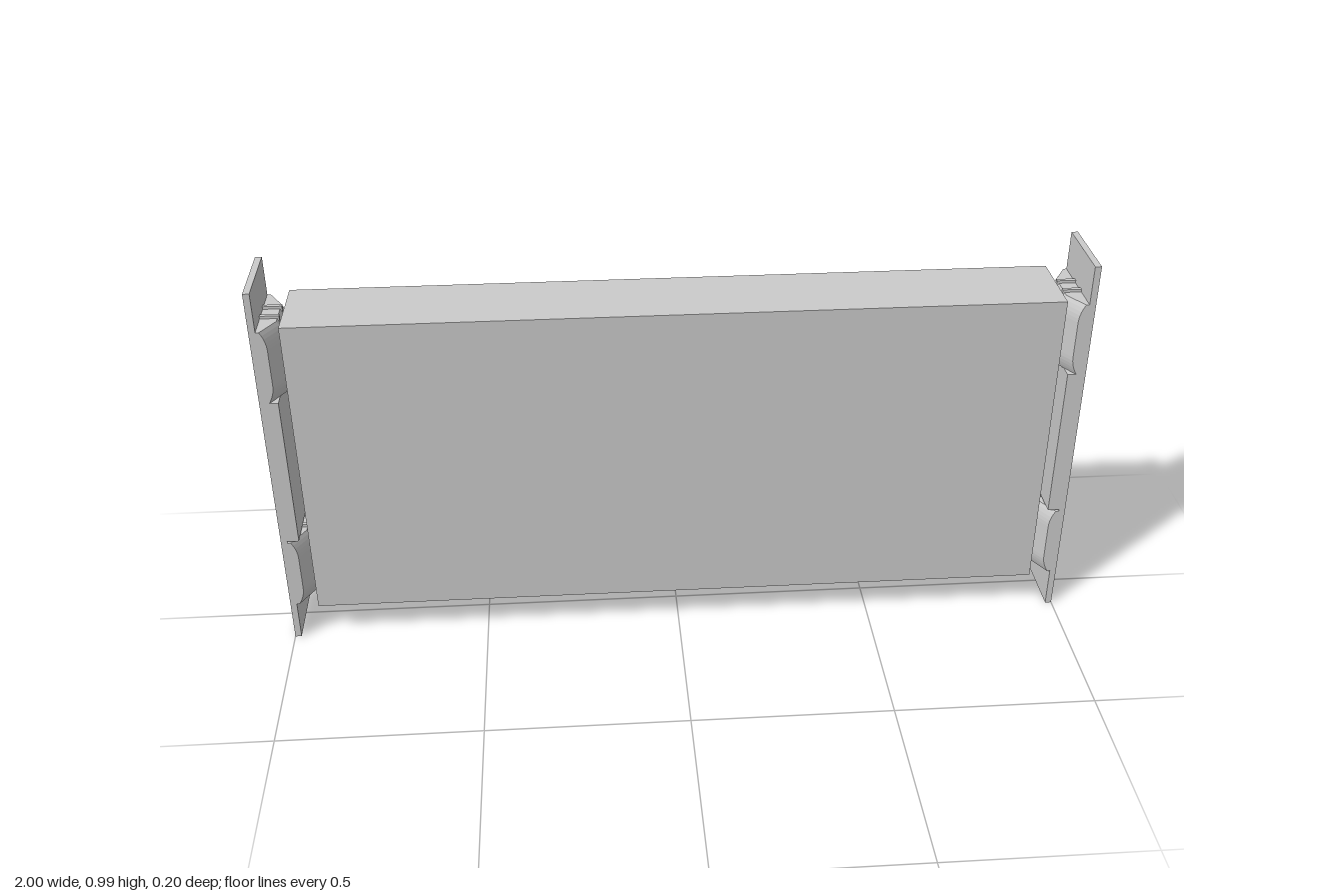
import * as THREE from 'three';

const grey = new THREE.MeshStandardMaterial({ color: 0xcccccc, flatShading: true });

function box(name, x0, x1, y0, y1, z0, z1) {
  const mesh = new THREE.Mesh(new THREE.BoxGeometry(x1 - x0, y1 - y0, z1 - z0), grey);
  mesh.position.set((x0 + x1) / 2, (y0 + y1) / 2, (z0 + z1) / 2);
  mesh.name = name;
  return mesh;
}

// Chamfered clamp block whose inner faces curve back towards both ends
function clampGeometry(height) {
  const shape = new THREE.Shape([
    [0.985, -0.1], [0.962, -0.1], [0.929, -0.045],
    [0.929, 0.045], [0.962, 0.1], [0.985, 0.1],
  ].map(([x, y]) => new THREE.Vector2(x, y)));
  const geometry = new THREE.ExtrudeGeometry(shape, { depth: height, steps: 20, bevelEnabled: false });
  geometry.rotateX(-Math.PI / 2);
  geometry.translate(0, -height / 2, 0);
  const p = geometry.attributes.position;
  for (let i = 0; i < p.count; i++) {
    if (p.getX(i) > 0.98) continue;
    const t = Math.abs(p.getY(i)) / (height / 2);
    p.setX(i, p.getX(i) + 0.014 * Math.max(0, (t - 0.5) / 0.5) ** 2);
  }
  geometry.computeVertexNormals();
  return geometry;
}

function createEnd(name) {
  const end = new THREE.Group();
  end.name = name;
  end.add(box('endPlate', 0.984, 1, 0, 0.99, -0.1, 0.1));
  end.add(box('middleSpacer', 0.955, 0.985, 0.3, 0.7, -0.1, 0.1));
  const geometry = clampGeometry(0.19);
  for (const y of [0.2, 0.795]) {
    const clamp = new THREE.Mesh(geometry, grey);
    clamp.name = 'clamp';
    clamp.position.y = y;
    end.add(clamp);
    // Thin ribs standing proud of the clamp's ends
    for (const z of [-0.025, 0.025]) {
      end.add(box('clampRib', 0.938, 0.985, y - 0.102, y + 0.102, z - 0.005, z + 0.005));
    }
  }
  return end;
}

export function createModel() {
  const model = new THREE.Group();
  model.name = 'panelWithEndPlates';
  model.add(box('panel', -0.93, 0.93, 0.095, 0.9, -0.1, 0.1));
  const left = createEnd('leftEnd');
  const right = createEnd('rightEnd');
  right.rotation.y = Math.PI;
  model.add(left, right);
  return model;
}
